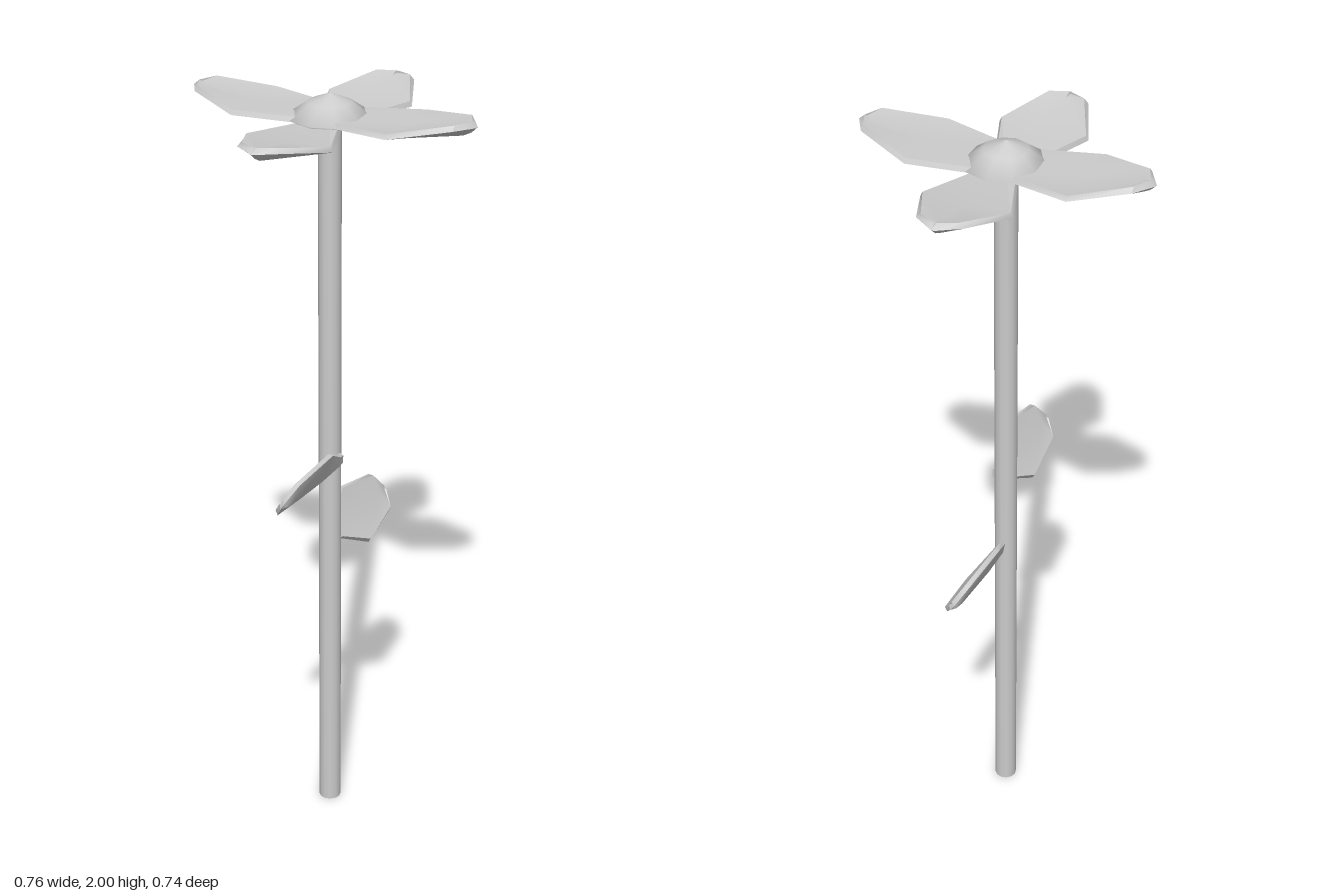
import * as THREE from 'three';
import { toCreasedNormals } from 'three/addons/utils/BufferGeometryUtils.js';

const material = new THREE.MeshStandardMaterial({ color: 0xcccccc });

function addMesh(parent, name, geometry) {
  const mesh = new THREE.Mesh(geometry, material);
  mesh.name = name;
  parent.add(mesh);
  return mesh;
}

// Cupped blade along +z. Each station: [z, half width, edge y, top middle y, bottom middle y, rim bevel]
function bladeGeometry(stations) {
  const pos = [], idx = [], n = 6;
  for (const [z, w, edge, top, bottom, bevel] of stations) {
    const inner = Math.max(w - bevel, w * 0.3);
    const zi = z - (w < 0.03 ? bevel : 0);
    pos.push(-w, edge, z, -inner, edge + 0.012, zi, 0, top, zi,
      inner, edge + 0.012, zi, w, edge, z, 0, bottom, zi);
  }
  for (let s = 0; s < stations.length - 1; s++) {
    for (let i = 0; i < n; i++) {
      const a = s * n + i, b = s * n + (i + 1) % n;
      idx.push(a, a + n, b + n, a, b + n, b);
    }
  }
  const end = (stations.length - 1) * n;
  for (let i = 1; i < n - 1; i++) {
    idx.push(0, i, i + 1, end, end + i + 1, end + i);
  }
  const geometry = new THREE.BufferGeometry();
  geometry.setAttribute('position', new THREE.Float32BufferAttribute(pos, 3));
  geometry.setIndex(idx);
  return toCreasedNormals(geometry, 0.75);
}

// Petal outline: root half width, widest half width, length
function petalGeometry(root, wide, length) {
  return bladeGeometry([
    [0, root, 0.02, 0.035, 0, 0.005],
    [0.205, wide, 0.028, 0.034, 0, 0.006],
    [length - 0.035, 0.059, 0.053, 0.058, 0.028, 0.012],
    [length, 0.004, 0.052, 0.058, 0.038, 0.014],
  ]);
}

export function createModel() {
  const model = new THREE.Group();
  const cx = -0.005;

  // Stem
  addMesh(model, 'stem', new THREE.CylinderGeometry(0.029, 0.029, 1.92, 12)).position.set(cx, 0.96, 0);

  // Flower head: four petals, the side pair slightly higher and broader at the root
  const flower = new THREE.Group();
  flower.name = 'flower';
  flower.position.x = cx;
  model.add(flower);
  const names = ['frontPetal', 'leftPetal', 'backPetal', 'rightPetal'];
  names.forEach((name, k) => {
    const side = k % 2 === 1;
    const geometry = side ? petalGeometry(0.068, 0.116, k === 1 ? 0.385 : 0.375) : petalGeometry(0.034, 0.117, 0.37);
    const petal = addMesh(flower, name, geometry);
    petal.rotation.y = k * Math.PI / 2;
    petal.position.y = side ? 1.918 : 1.9;
  });

  // Low domed centre
  const profile = [[0, 1.912], [0.07, 1.925], [0.105, 1.943], [0.055, 1.978], [0, 2]]
    .map(([r, y]) => new THREE.Vector2(r, y));
  addMesh(flower, 'flowerCentre', new THREE.LatheGeometry(profile, 10));

  // Two tilted leaves on opposite sides of the stem
  const leaf = bladeGeometry([
    [0.0, 0.02, 0, 0.008, -0.01, 0.002],
    [0.025, 0.028, 0, 0.01, -0.012, 0.004],
    [0.115, 0.084, 0.004, 0.008, -0.014, 0.006],
    [0.262, 0.058, 0.004, 0.01, -0.01, 0.008],
    [0.293, 0.012, 0.002, 0.01, -0.006, 0.006],
  ]);
  const tilt = THREE.MathUtils.degToRad(57);
  const front = addMesh(model, 'frontLeaf', leaf);
  front.position.set(0.023, 1.034, 0);
  front.rotation.z = tilt;
  const back = addMesh(model, 'backLeaf', leaf);
  back.position.set(0, 0.818, 0);
  back.rotation.set(0, Math.PI, -tilt, 'ZYX');

  return model;
}
